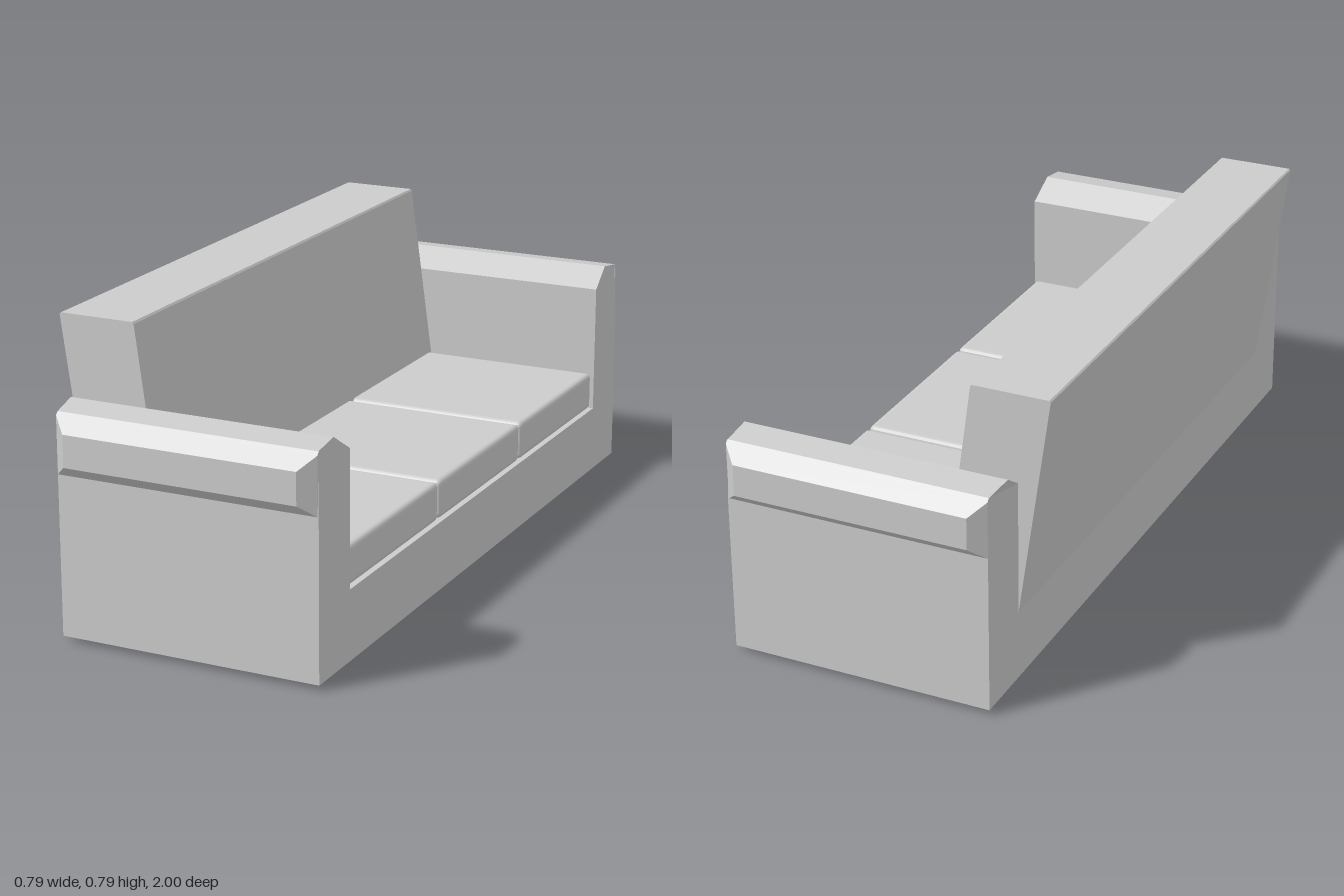
import * as THREE from 'three';
import { RoundedBoxGeometry } from 'three/addons/geometries/RoundedBoxGeometry.js';

const material = new THREE.MeshStandardMaterial({ color: 0xcccccc, flatShading: true });
const BACK = -0.31, FRONT = 0.395;

function add(parent, name, geometry) {
  const mesh = new THREE.Mesh(geometry, material);
  mesh.name = name;
  parent.add(mesh);
  return mesh;
}

// Capped solid through rectangles stacked along y: [y, x0, x1, z0, z1]
function loft(rings) {
  const points = [], index = [];
  for (const [y, x0, x1, z0, z1] of rings) {
    points.push(x0, y, z0, x0, y, z1, x1, y, z1, x1, y, z0);
  }
  for (let r = 0; r < rings.length - 1; r++) {
    for (let i = 0; i < 4; i++) {
      const a = r * 4 + i, b = r * 4 + (i + 1) % 4;
      index.push(a, b, b + 4, a, b + 4, a + 4);
    }
  }
  const t = (rings.length - 1) * 4;
  index.push(0, 2, 1, 0, 3, 2, t, t + 1, t + 2, t, t + 2, t + 3);
  const geometry = new THREE.BufferGeometry();
  geometry.setAttribute('position', new THREE.Float32BufferAttribute(points, 3));
  geometry.setIndex(index);
  const flat = geometry.toNonIndexed();
  flat.computeVertexNormals();
  return flat;
}

function extrude(points, depth) {
  const shape = new THREE.Shape(points.map(([a, b]) => new THREE.Vector2(a, b)));
  return new THREE.ExtrudeGeometry(shape, { depth, bevelEnabled: false });
}

// Arm body with a ridged top; the ridge leans slightly backwards
function armBody(side) {
  const profile = [[0.8, 0.2], [0.8, 0.555], [0.878, 0.605], [0.957, 0.593], [0.965, 0.435], [0.965, 0.2]];
  const geometry = extrude(profile.map(([z, y]) => [-side * z, y]), FRONT - BACK);
  geometry.rotateY(Math.PI / 2).translate(BACK, 0, 0);
  const p = geometry.attributes.position;
  for (let i = 0; i < p.count; i++) {
    if (p.getY(i) > 0.6) p.setX(i, p.getX(i) - (p.getX(i) < 0 ? 0.011 : 0.005));
    else if (p.getY(i) > 0.58 && p.getX(i) > 0) p.setX(i, 0.391);
  }
  geometry.computeVertexNormals();
  return geometry;
}

// Bevelled roll on the outer face of an arm
function armRoll(side) {
  const zs = (lo, hi) => (side > 0 ? [-hi, -lo] : [lo, hi]);
  return loft([
    [0.957, BACK, 0.392, ...zs(0.435, 0.593)],
    [0.965, BACK, 0.392, ...zs(0.435, 0.585)],
    [1.0, -0.272, 0.355, ...zs(0.467, 0.551)],
  ]).rotateX(side * Math.PI / 2);
}

export function createModel() {
  const sofa = new THREE.Group();
  sofa.name = 'sofa';

  // Base with a shallow bevel under its lower edge
  const ring = (y, inset) => [y, BACK + inset, FRONT - inset, -0.965 + inset, 0.965 - inset];
  add(sofa, 'base', loft([ring(0, 0.09), ring(0.005, 0.03), ring(0.015, 0), ring(0.2, 0)]));

  // Leaning backrest with a tiny chamfer along its top
  const backrest = extrude([
    [BACK, 0.2], [-0.105, 0.2], [-0.186, 0.785], [-0.19, 0.79], [-0.391, 0.79], [-0.395, 0.786],
  ], 1.6);
  add(sofa, 'backrest', backrest.translate(0, 0, -0.8));

  // Three seat cushions
  for (const i of [-1, 0, 1]) {
    const cushion = add(sofa, 'seatCushion', new RoundedBoxGeometry(0.56, 0.105, 0.527, 2, 0.014));
    cushion.position.set(0.108, 0.2535, i * 0.535);
  }

  // Arms, one at each end
  for (const side of [1, -1]) {
    const arm = new THREE.Group();
    arm.name = side > 0 ? 'leftArm' : 'rightArm';
    add(arm, 'armBody', armBody(side));
    add(arm, 'armRoll', armRoll(side));
    sofa.add(arm);
  }
  return sofa;
}
